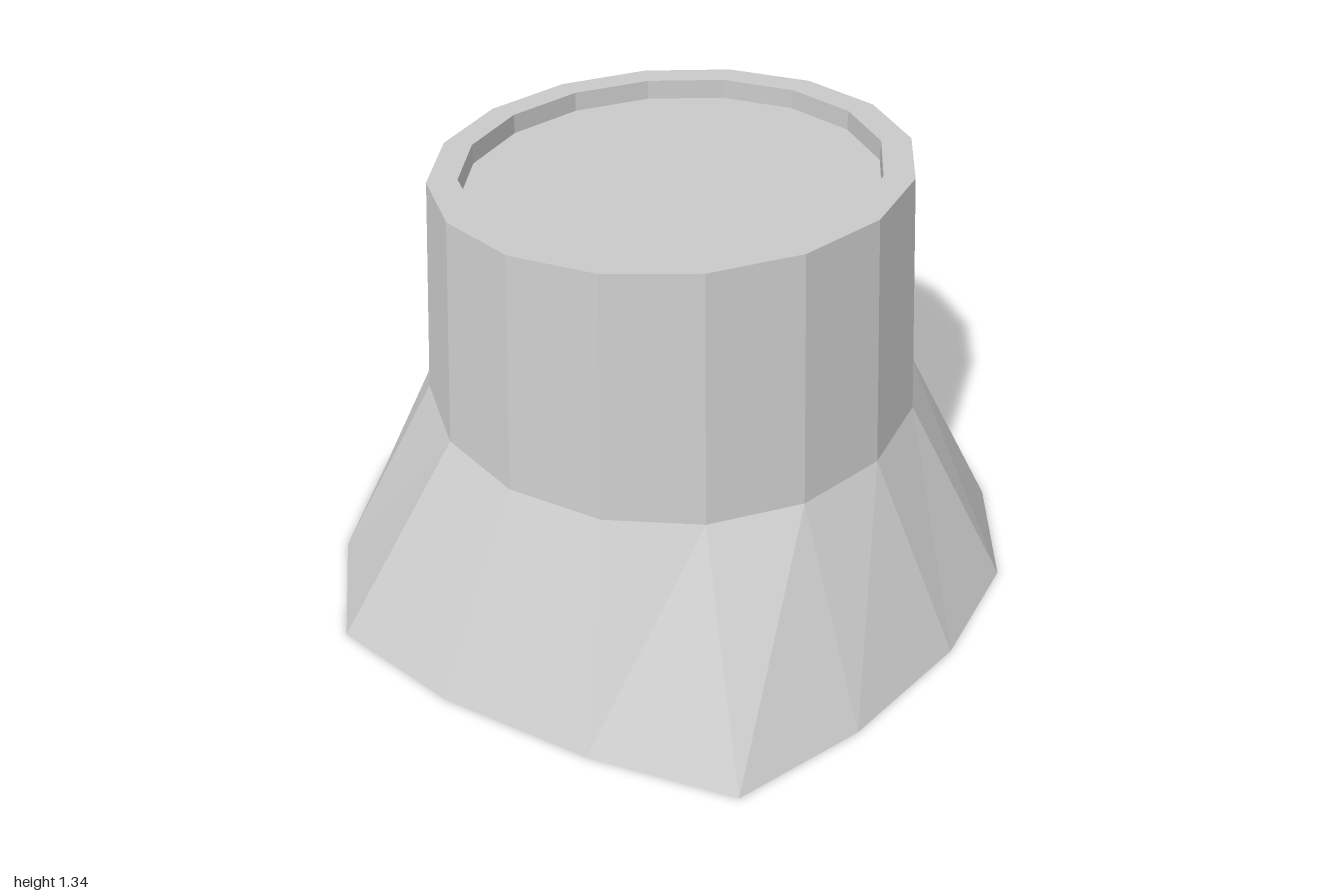
import * as THREE from 'three';

const SIDES = 16;
const material = new THREE.MeshStandardMaterial({ color: 0xcccccc, flatShading: true });

// Uneven foot outline (x, z), clockwise from the back as seen from above
const FOOT = [
  [-0.02, -1], [0.36, -0.94], [0.7, -0.74], [0.93, -0.43],
  [0.99, -0.05], [0.95, 0.38], [0.83, 0.77], [0.42, 0.91],
  [-0.03, 0.99], [-0.44, 0.98], [-0.73, 0.7], [-0.92, 0.35],
  [-1, -0.02], [-0.94, -0.38], [-0.76, -0.69], [-0.4, -0.9],
];

// Regular ring whose height follows height(x, z); radius 0 gives a centre point
function ring(radius, cx, cz, height) {
  return Array.from({ length: SIDES }, (_, i) => {
    const a = (i / SIDES) * Math.PI * 2;
    const x = cx + radius * Math.sin(a);
    const z = cz - radius * Math.cos(a);
    return new THREE.Vector3(x, height(x, z), z);
  });
}

// Faceted surface joining successive rings
function loft(name, rings) {
  const points = [];
  const triangle = (a, b, c) => {
    if (a.distanceTo(b) > 1e-6 && b.distanceTo(c) > 1e-6 && c.distanceTo(a) > 1e-6) points.push(a, b, c);
  };
  for (let r = 0; r + 1 < rings.length; r++) {
    const lower = rings[r], upper = rings[r + 1];
    for (let i = 0; i < SIDES; i++) {
      const j = (i + 1) % SIDES;
      triangle(lower[j], lower[i], upper[i]);
      triangle(lower[j], upper[i], upper[j]);
    }
  }
  const geometry = new THREE.BufferGeometry().setFromPoints(points);
  geometry.computeVertexNormals();
  const mesh = new THREE.Mesh(geometry, material);
  mesh.name = name;
  return mesh;
}

export function createModel() {
  const group = new THREE.Group();
  group.name = 'flaredPedestal';

  // The top leans gently, highest toward +x and the front
  const topPlane = (x, z) => 1.282 + 0.081 * (x + 0.02) + 0.03 * (z + 0.028);
  const floorPlane = (x, z) => topPlane(x, z) - 0.06;

  const foot = FOOT.map(([x, z]) => new THREE.Vector3(x, 0, z));
  const underside = ring(0, 0, 0, () => 0);
  const waist = ring(0.722, -0.013, -0.025, () => 0.58);
  const rimOuter = ring(0.676, -0.02, -0.028, topPlane);
  const rimInner = ring(0.59, -0.02, -0.028, topPlane);
  const floorEdge = ring(0.59, -0.02, -0.028, floorPlane);
  const floorCentre = ring(0, -0.02, -0.028, floorPlane);

  group.add(
    loft('flaredBase', [underside, foot, waist]),
    loft('column', [waist, rimOuter]),
    loft('rim', [rimOuter, rimInner, floorEdge]),
    loft('recessedTop', [floorEdge, floorCentre]),
  );
  return group;
}
